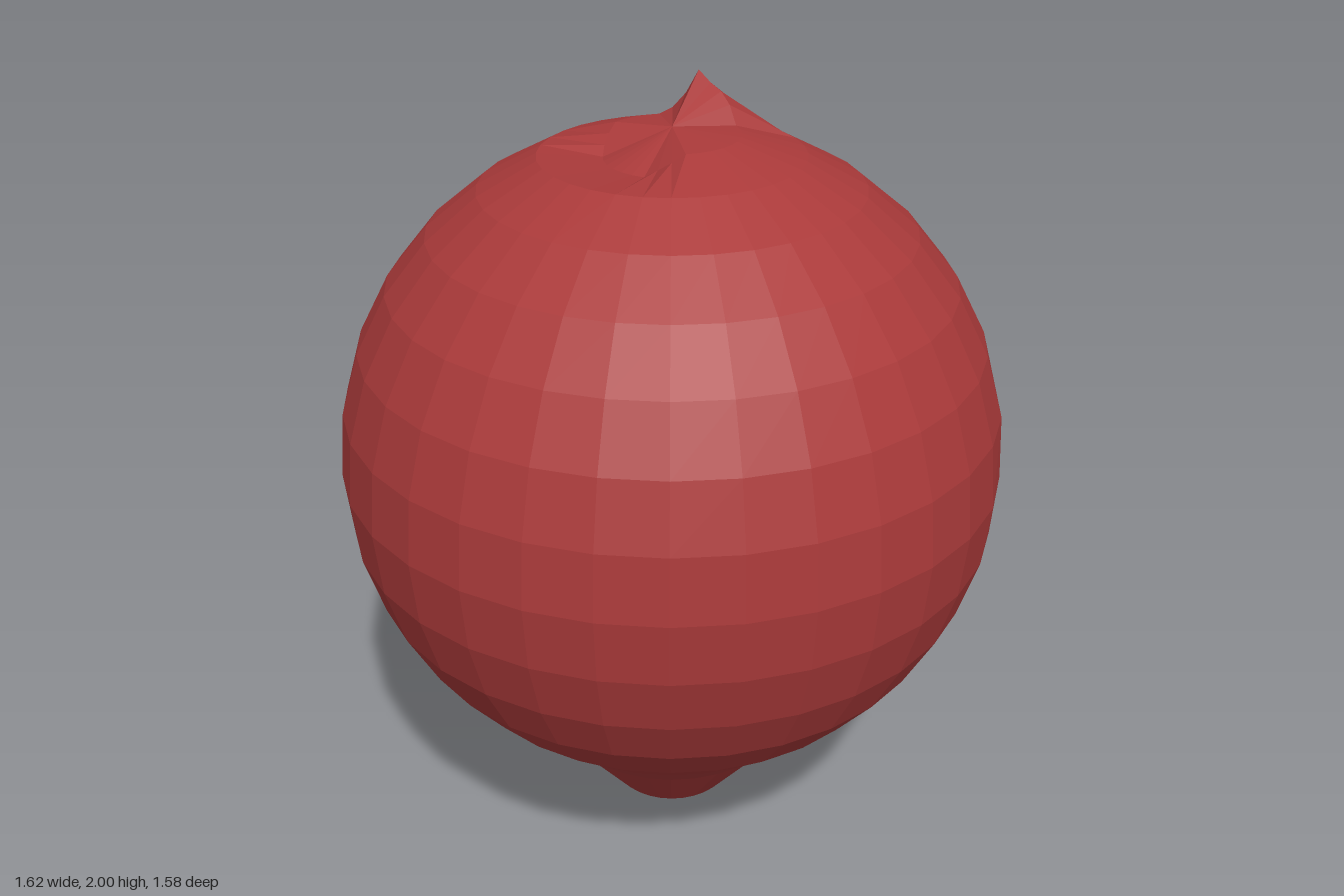
import * as THREE from 'three';

const SEG = 32, RINGS = 16, R = 0.81, CY = 1.10, CZ = -0.02;

// [ring, segment, inward push]; rings count up from the tip, segments from the front towards +x
const DENTS = [
  // small pit on the +x side
  [8, 9, 0.16], [7, 9, 0.05], [9, 9, 0.06], [8, 10, 0.05], [8, 8, 0.005], [9, 10, 0.03],
  // broad dent at the back
  [8, 15, 0.02], [8, 16, 0.13], [8, 17, 0.17], [8, 18, 0.12], [8, 19, 0.02],
  [9, 15, 0.01], [9, 16, 0.10], [9, 17, 0.12], [9, 18, 0.08], [9, 19, 0.01],
  [7, 15, 0.01], [7, 16, 0.10], [7, 17, 0.12], [7, 18, 0.08], [7, 19, 0.01],
  [10, 16, 0.03], [10, 17, 0.03], [6, 16, 0.03], [6, 17, 0.03],
];

// heights of the lowest rings, drawn down into a pointed tip
const TIP = [0, 0.10, 0.29, 0.42];

// rise of the innermost top ring around the stem peak, by segment
const PEAK = { 12: 0.04, 13: 0.065, 14: 0.08, 15: 0.106, 16: 0.05, 17: 0.015 };

function bodyGeometry() {
  const pos = [], index = [];
  for (let j = 0; j <= RINGS; j++) {
    const t = (j * Math.PI) / RINGS;
    for (let k = 0; k < SEG; k++) {
      const a = (k * 2 * Math.PI) / SEG;
      const dent = DENTS.find((d) => d[0] === j && d[1] === k);
      const r = R * Math.sin(t) - (dent ? dent[2] : 0);
      let y = j < TIP.length ? TIP[j] : CY - R * Math.cos(t);
      if (j === RINGS - 1) {
        // stem peak at the back, shallow hollow at the front right
        y += PEAK[k] || 0;
        const off = Math.abs(((k + 4 + SEG / 2) % SEG) - SEG / 2);
        if (off < 6) y -= 0.055 * Math.min(1, (6 - off) / 3);
      }
      pos.push(r * Math.sin(a), y, CZ + r * Math.cos(a));
    }
  }
  for (let j = 0; j < RINGS; j++) {
    for (let k = 0; k < SEG; k++) {
      const n = (k + 1) % SEG;
      const a = j * SEG + k, b = j * SEG + n;
      const c = a + SEG, d = b + SEG;
      if (j > 0) index.push(a, b, d);
      if (j < RINGS - 1) index.push(a, d, c);
      // the poles collapse to one point, so each needs one triangle per segment
    }
  }
  const g = new THREE.BufferGeometry();
  g.setAttribute('position', new THREE.Float32BufferAttribute(pos, 3));
  g.setIndex(index);
  const flat = g.toNonIndexed();   // separate corners give flat facets
  flat.computeVertexNormals();
  return flat;
}

export function createModel() {
  const group = new THREE.Group();
  group.name = 'bulb';
  const red = new THREE.MeshStandardMaterial({ color: 0xaa3a3a });
  red.name = 'red';
  const body = new THREE.Mesh(bodyGeometry(), red);
  body.name = 'body';
  group.add(body);
  return group;
}
